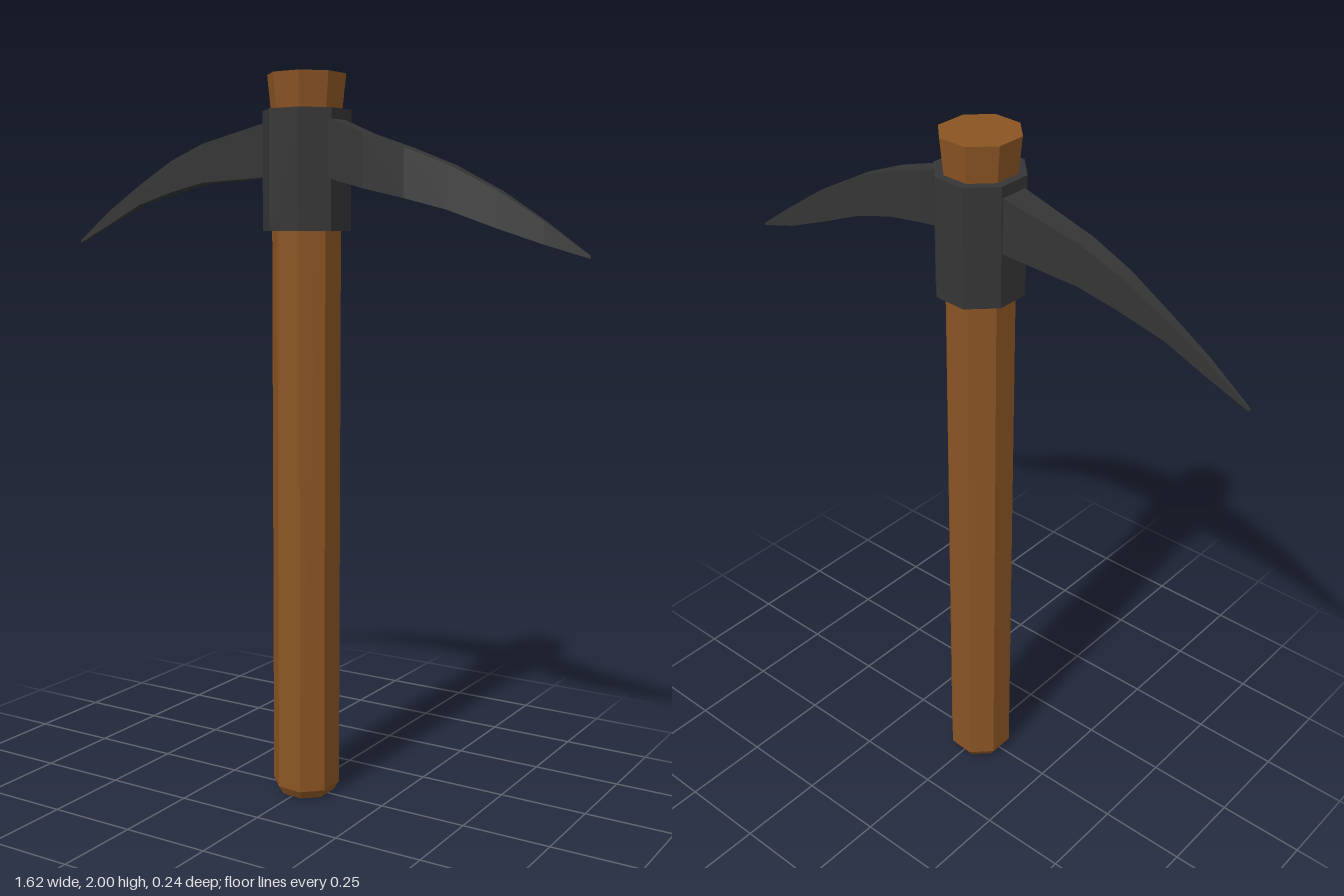
import * as THREE from 'three';

const wood = new THREE.MeshStandardMaterial({ color: 0x8a5423, flatShading: true });
wood.name = 'brown wood';
const iron = new THREE.MeshStandardMaterial({ color: 0x353535, flatShading: true });
iron.name = 'dark iron';

// Skins a list of equal-sized rings and closes both ends.
function loft(name, rings, material) {
  const n = rings[0].length;
  const index = [];
  for (let r = 0; r < rings.length - 1; r++) {
    for (let k = 0; k < n; k++) {
      const a = r * n + k, b = r * n + (k + 1) % n;
      index.push(a, b, b + n, a, b + n, a + n);
    }
  }
  const last = (rings.length - 1) * n;
  for (let k = 1; k < n - 1; k++) {
    index.push(0, k + 1, k, last, last + k, last + k + 1);
  }
  const geometry = new THREE.BufferGeometry();
  geometry.setAttribute('position', new THREE.Float32BufferAttribute(rings.flat(2), 3));
  geometry.setIndex(index);
  const flat = geometry.toNonIndexed();
  flat.computeVertexNormals();
  const mesh = new THREE.Mesh(flat, material);
  mesh.name = name;
  return mesh;
}

// Slightly uneven hand-cut octagon, as x, z for a half width of 1.
const octagon = [
  [0.42, 1.02], [0.98, 0.48], [0.98, -0.42], [0.4, -1.02],
  [-0.42, -1.07], [-1, -0.5], [-1, 0.33], [-0.4, 0.96],
];
const octRing = (y, s) => octagon.map(([x, z]) => [x * s, y, z * s]);

// Four-sided blade section: x, top, bottom, back z, front z.
const bladeRing = ([x, top, bottom, back, front]) => [
  [x, top, back], [x, top, front], [x, bottom, front], [x, bottom, back],
];

export function createModel() {
  const group = new THREE.Group();
  group.name = 'pickaxe';

  // Handle with a bevelled foot and a flared top
  group.add(loft('handle', [
    octRing(0, 0.075), octRing(0.025, 0.09), octRing(1.88, 0.09), octRing(2, 0.102),
  ], wood));

  // Iron sleeve around the handle
  group.add(loft('collar', [octRing(1.585, 0.115), octRing(1.905, 0.115)], iron));

  // Straight pick on the right, listed from tip to root
  const rightPick = [
    [-0.815, 1.556, 1.549, -0.021, -0.016],
    [-0.7, 1.645, 1.605, -0.035, -0.018],
    [-0.59, 1.715, 1.66, -0.046, -0.018],
    [-0.465, 1.783, 1.695, -0.052, -0.01],
    [-0.345, 1.828, 1.72, -0.055, 0],
    [-0.09, 1.88, 1.731, -0.053, 0.032],
  ];
  group.add(loft('rightPick', rightPick.map(bladeRing), iron));

  // Bowed pick on the left, listed from root to tip
  const leftPick = [
    [0.09, 1.885, 1.727, -0.025, 0.058],
    [0.22, 1.835, 1.695, 0.008, 0.08],
    [0.345, 1.795, 1.668, 0.026, 0.087],
    [0.46, 1.75, 1.638, 0.02, 0.07],
    [0.58, 1.685, 1.592, 0, 0.035],
    [0.69, 1.61, 1.553, -0.017, 0],
    [0.81, 1.526, 1.519, -0.013, -0.008],
  ];
  group.add(loft('leftPick', leftPick.map(bladeRing), iron));

  return group;
}
